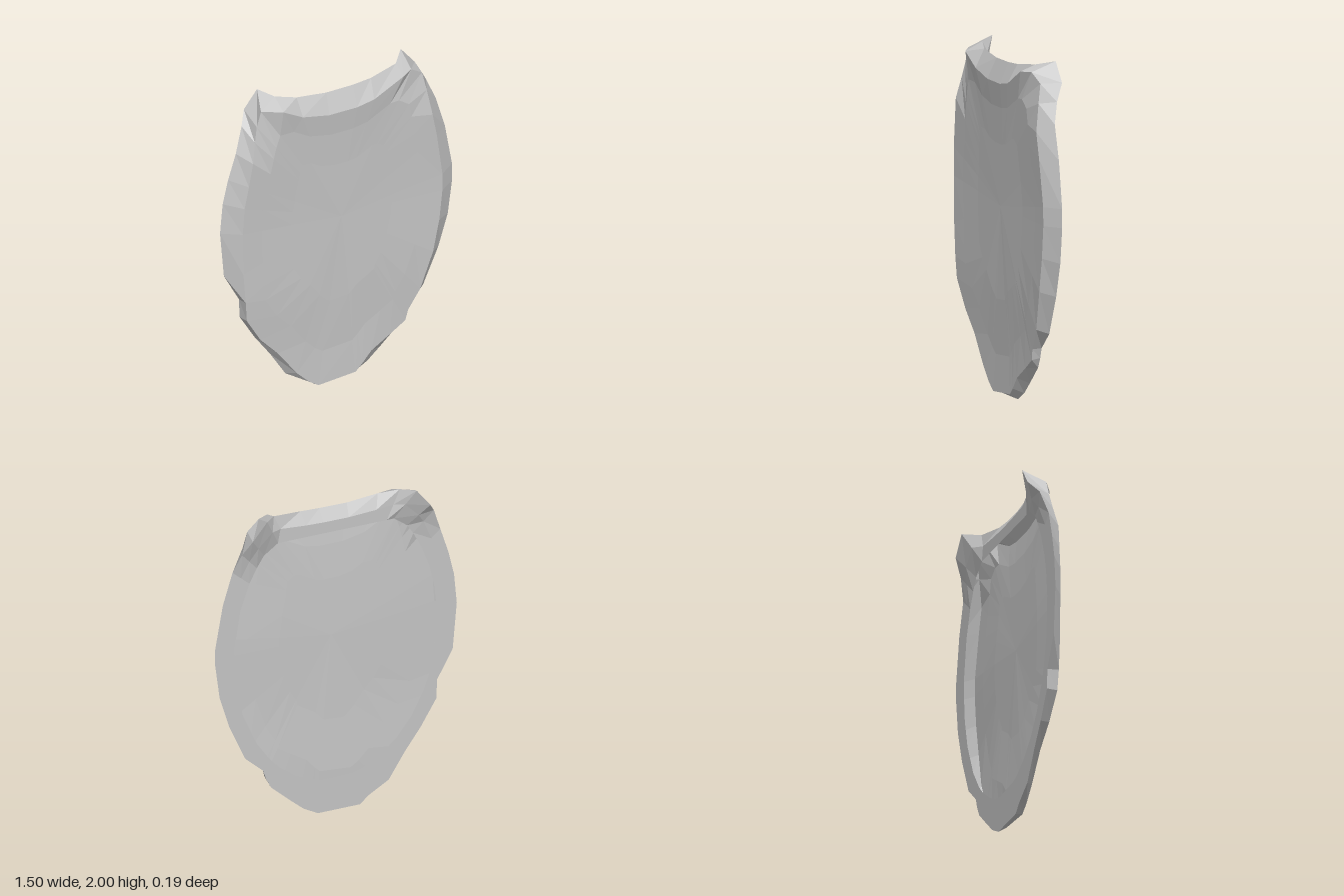
import * as THREE from 'three';

// Each station: outer back edge (x, y, z) and front rim (x, y, z), counter-clockwise from the front.
const B = -0.012;
const { smoothstep } = THREE.MathUtils;
const frontZ = (y) => 0.034 + 0.027 * smoothstep(y, 0.2, 0.75) + 0.015 * smoothstep(y, 1.1, 1.75);

// Sides: [outer x, outer y, rim x, rim y]; depth follows a rule.
const rightSide = [
  [-0.15, 0, -0.14, 0.01], [0.11, 0, 0.1, 0.03], [0.2, 0.05, 0.14, 0.07], [0.28, 0.12, 0.2, 0.14],
  [0.4, 0.23, 0.32, 0.215], [0.43, 0.29, 0.42, 0.28], [0.45, 0.35, 0.435, 0.345], [0.56, 0.45, 0.51, 0.47],
  [0.66, 0.68, 0.585, 0.7], [0.72, 0.88, 0.625, 0.9], [0.747, 1.09, 0.645, 1.09], [0.747, 1.2, 0.645, 1.2],
  [0.7, 1.47, 0.605, 1.47], [0.64, 1.67, 0.575, 1.62],
];
const leftSide = [
  [-0.65, 1.67, -0.585, 1.63], [-0.7, 1.51, -0.61, 1.48], [-0.735, 1.36, -0.635, 1.34], [-0.752, 1.17, -0.645, 1.17],
  [-0.727, 0.88, -0.64, 0.9], [-0.63, 0.7, -0.625, 0.71], [-0.625, 0.58, -0.615, 0.585], [-0.53, 0.42, -0.52, 0.425],
  [-0.43, 0.28, -0.405, 0.3], [-0.33, 0.12, -0.28, 0.13], [-0.21, 0.05, -0.2, 0.05],
];
// Top edge with a backward-bent horn at each corner.
const topEdge = [
  [0.595, 1.79, -0.045, 0.55, 1.78, 0.05], [0.55, 1.89, -0.095, 0.53, 1.89, 0.03],
  [0.46, 2, -0.095, 0.45, 1.945, 0.05], [0.38, 1.975, -0.005, 0.38, 1.94, 0.09],
  [0.2, 1.95, 0.03, 0.19, 1.84, 0.088], [0.08, 1.942, 0.035, 0.08, 1.82, 0.088],
  [-0.09, 1.94, 0.035, -0.1, 1.82, 0.088], [-0.28, 1.96, 0.03, -0.27, 1.855, 0.088],
  [-0.4, 1.98, -0.01, -0.4, 1.93, 0.095], [-0.465, 2, -0.1, -0.51, 1.93, 0.03],
  [-0.55, 1.89, -0.1, -0.54, 1.84, 0.035], [-0.595, 1.82, -0.045, -0.56, 1.75, 0.05],
];
const withDepth = ([ox, oy, rx, ry]) => [ox, oy, B, rx, ry, frontZ(ry)];
const stations = [...rightSide.map(withDepth), ...topEdge, ...leftSide.map(withDepth)];
const outer = stations.map((s) => s.slice(0, 3));
const rim = stations.map((s) => s.slice(3));

// Opening in the back: an oval cut straight at the top.
const CY = 1.1;
const opening = outer.map(([x, y]) => {
  const a = Math.atan2((y - CY) / 0.9, x / 0.63);
  let px = 0.63 * Math.cos(a), py = 0.9 * Math.sin(a);
  if (py > 0.7) { px *= 0.7 / py; py = 0.7; }
  return [px, CY + py, B];
});

// Back ridge halfway between the outer edge and the opening.
const ridge = outer.map(([x, y, z], i) => {
  const [px, py, pz] = opening[i];
  return [(x + px) / 2, (y + py) / 2, Math.min((z + pz) / 2, B)];
});

// Shrinks a loop toward the middle; z comes from a rule of y.
const shrink = (loop, s, z) => loop.map(([x, y]) => {
  const ny = CY + (y - CY) * s;
  return [x * s, ny, z(ny)];
});

// Joins successive loops with quads and optionally closes with a centre point.
function skin(name, loops, material, centre) {
  const pos = [];
  const tri = (...p) => p.forEach((v) => pos.push(...v));
  const n = loops[0].length;
  for (let i = 0; i < n; i++) {
    const j = (i + 1) % n;
    for (let k = 0; k + 1 < loops.length; k++) {
      const a = loops[k], b = loops[k + 1];
      tri(a[i], a[j], b[j]);
      tri(a[i], b[j], b[i]);
    }
    const last = loops[loops.length - 1];
    if (centre) tri(last[i], last[j], centre);
  }
  const geo = new THREE.BufferGeometry();
  geo.setAttribute('position', new THREE.Float32BufferAttribute(pos, 3));
  geo.computeVertexNormals();
  const mesh = new THREE.Mesh(geo, material);
  mesh.name = name;
  return mesh;
}

export function createModel() {
  const grey = new THREE.MeshStandardMaterial({ color: 0xc4c4c4, flatShading: true, side: THREE.DoubleSide });
  grey.name = 'plain grey';
  const group = new THREE.Group();
  group.name = 'curvedPlate';

  // Bevelled edge including both horns
  group.add(skin('bevelledEdge', [outer, rim], grey));

  // Slightly hollowed front sheet, also seen from behind through the opening
  const hollow = [[0.8, 0.005], [0.5, 0.011]].map(([s, d]) => shrink(rim, s, (y) => frontZ(y) - d));
  group.add(skin('frontFace', [rim, ...hollow], grey, [0, CY, 0.05]));

  // Back border around the opening, wound to face backward
  const back = [outer, ridge, opening].map((loop) => [...loop].reverse());
  group.add(skin('backBorder', back, grey));
  return group;
}
